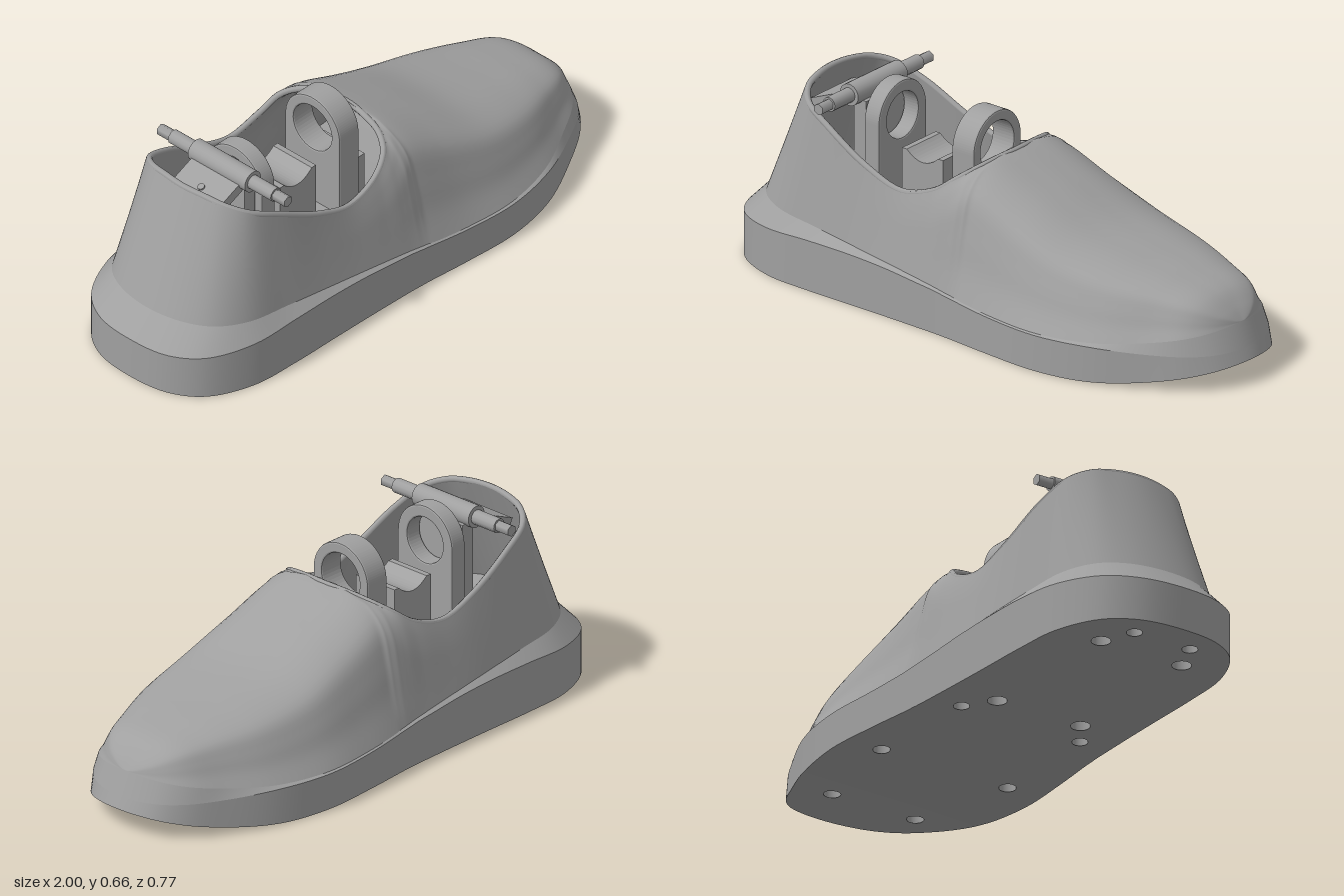
import * as THREE from 'three';
import { mergeVertices } from 'three/addons/utils/BufferGeometryUtils.js';

const STEPS = 6; // samples between two stations

// Upper, one side from heel to toe: base x,y,z, top x,y,z, roundness of the arch
const UPPER = [
  [-.92, .235, 0, -.76, .64, 0, 0], [-.9, .235, .13, -.75, .637, .09, 0],
  [-.845, .232, .225, -.73, .625, .165, 0], [-.74, .225, .285, -.68, .6, .225, 0],
  [-.58, .213, .305, -.57, .55, .255, 0], [-.4, .196, .32, -.4, .465, .27, 0],
  [-.25, .18, .33, -.25, .42, .272, .1], [-.12, .165, .338, -.12, .455, .262, .2],
  [-.04, .155, .343, -.05, .505, .235, .4], [0, .15, .347, -.01, .535, .175, .7],
  [.03, .147, .35, .01, .55, .09, .9], [.06, .143, .355, .02, .555, 0, 1],
  [.2, .132, .368, .2, .482, 0, 1], [.4, .128, .376, .4, .395, 0, 1],
  [.6, .135, .337, .6, .347, 0, 1], [.75, .152, .268, .75, .318, 0, 1],
  [.87, .175, .2, .87, .285, 0, 1], [.93, .19, .12, .925, .24, 0, 1],
  [.957, .2, 0, .957, .2, 0, 1],
];
// Sole outline at the same stations: x, z, height of the wall
const SOLE = [
  [-1, 0, .15], [-.98, .15, .15], [-.91, .255, .155], [-.76, .325, .165], [-.58, .34, .175],
  [-.4, .343, .175], [-.25, .346, .168], [-.12, .35, .156], [-.04, .353, .149], [0, .356, .144],
  [.03, .358, .141], [.06, .361, .138], [.2, .375, .128], [.4, .385, .124], [.6, .35, .125],
  [.77, .278, .12], [.9, .205, .12], [.97, .125, .12], [1, 0, .12],
];
// Holes under the sole, mirrored: x, z, radius
const HOLES = [[.7, .165, .028], [.31, .25, .028], [-.11, .235, .026], [-.21, .165, .032],
  [-.775, .16, .032], [-.89, .11, .026]];

const V = (x, y, z) => new THREE.Vector3(x, y, z);
const LAST = UPPER.length - 1;
const NU = LAST * 2 * STEPS;
const HALF = LAST * STEPS;

// Closed, mirrored loop through one point per station
function loop(points) {
  const back = points.slice(1, -1).reverse().map(p => V(p.x, p.y, -p.z));
  return new THREE.CatmullRomCurve3([...points, ...back], true);
}

function sample(points) {
  const curve = loop(points);
  return Array.from({ length: NU }, (_, i) => {
    const p = curve.getPoint(i / NU);
    p.z = i <= HALF ? Math.max(0, p.z) : Math.min(0, p.z);
    return p;
  });
}

// Smooth surface from closed rings of points
function loft(fn, nv) {
  const pos = [], index = [];
  for (let j = 0; j <= nv; j++) for (let i = 0; i < NU; i++) pos.push(...fn(i, j / nv).toArray());
  for (let j = 0; j < nv; j++) for (let i = 0; i < NU; i++) {
    const a = j * NU + i, b = j * NU + (i + 1) % NU;
    index.push(a, b, b + NU, a, b + NU, a + NU);
  }
  let g = new THREE.BufferGeometry();
  g.setAttribute('position', new THREE.Float32BufferAttribute(pos, 3));
  g.setIndex(index);
  g = mergeVertices(g, 1e-4);
  g.computeVertexNormals();
  return g;
}

const bottomY = x => x > .5 ? .08 * ((x - .5) / .5) ** 2 : 0;

export function createModel() {
  const root = new THREE.Group();
  const grey = new THREE.MeshStandardMaterial({ color: 0xa0a0a0 });
  const add = (name, geometry, x = 0, y = 0, z = 0) => {
    const m = new THREE.Mesh(geometry, grey);
    m.name = name;
    m.position.set(x, y, z);
    root.add(m);
    return m;
  };

  const base = sample(UPPER.map(r => V(r[0], r[1], r[2])));
  const top = sample(UPPER.map(r => V(r[3], r[4], r[5])));
  const outer = sample(SOLE.map(r => V(r[0], r[2], r[1])));

  // Upper: straight walls at the heel turning into an arch over the forefoot
  const arch = new THREE.CatmullRomCurve3([V(1, 0, 0), V(.9, .25, 0), V(.82, .52, 0),
    V(.7, .8, 0), V(.42, .955, 0), V(0, 1, 0)]);
  const shell = loft((i, v) => {
    const s = Math.min(i, NU - i) / STEPS, n = Math.min(Math.floor(s), LAST - 1);
    const k = THREE.MathUtils.lerp(UPPER[n][6], UPPER[n + 1][6], s - n);
    const c = arch.getPoint(v), B = base[i], R = top[i];
    const out = THREE.MathUtils.lerp(1 - v, c.x, k), up = THREE.MathUtils.lerp(v, c.y, k);
    return V(R.x + (B.x - R.x) * out, B.y + (R.y - B.y) * up, R.z + (B.z - R.z) * out);
  }, 20);
  add('upper', shell);

  // Lining: the same shell moved inwards and turned inside out
  const lining = shell.clone();
  const p = lining.attributes.position, nrm = lining.attributes.normal;
  for (let i = 0; i < p.count; i++) {
    p.setXYZ(i, p.getX(i) - nrm.getX(i) * .02, p.getY(i) - nrm.getY(i) * .02, p.getZ(i) - nrm.getZ(i) * .02);
  }
  lining.setIndex(Array.from(shell.index.array).reverse());
  lining.computeVertexNormals();
  add('lining', lining);

  // Rolled edge round the opening
  const rim = loop(UPPER.slice(0, 12).map(r => V(r[3] * .99, r[4] - .007, r[5] * .97)));
  add('collar', new THREE.TubeGeometry(rim, 120, .011, 8, true));

  // Sole: wall, bevelled ledge and inner floor
  const foot = outer.map(o => V(o.x, bottomY(o.x), o.z));
  const ledge = outer.map((o, i) => {
    const f = .33 * THREE.MathUtils.smoothstep(o.x, .5, 1);
    return V(o.x + (base[i].x - o.x) * f, o.y, o.z + (base[i].z - o.z) * f);
  });
  const spine = base.map(b => V(b.x, b.y, 0));
  const strip = (a, b) => loft((i, v) => a[i].clone().lerp(b[i], v), 1);
  add('soleWall', strip(foot, ledge));
  add('soleLedge', strip(ledge, base));
  add('soleFloor', strip(base, spine));

  // Underside in bands that follow the rise of the toe, with round holes
  const holes = HOLES.flatMap(([x, z, r]) => [[x, z, r], [x, -z, r]]);
  const cuts = [0, 13, 14, 15, 16, 17, 18].map(n => n * STEPS);
  for (let b = 0; b < cuts.length - 1; b++) {
    const side = foot.slice(cuts[b], cuts[b + 1] + 1);
    const x0 = side[0].x, x1 = side[side.length - 1].x;
    const outline = [...side.map(q => new THREE.Vector2(q.x, -q.z)),
      ...side.slice().reverse().filter(q => q.z > 1e-5).map(q => new THREE.Vector2(q.x, q.z))];
    const shape = new THREE.Shape(outline);
    for (const [x, z, r] of holes) {
      if (x > x0 && x < x1) shape.holes.push(new THREE.Path().absarc(x, z, r, 0, Math.PI * 2, true));
    }
    const g = new THREE.ShapeGeometry(shape, 10);
    const q = g.attributes.position;
    for (let i = 0; i < q.count; i++) q.setXYZ(i, q.getX(i), bottomY(q.getX(i)), q.getY(i));
    g.computeVertexNormals();
    add('underside', g);
  }
  for (const [x, z, r] of holes) {
    const cup = [[0, .07], [r, .07], [r, .07], [r, -.002]].map(c => new THREE.Vector2(...c));
    add('screwHole', new THREE.LatheGeometry(cup, 20), x, bottomY(x), z);
  }

  // Extrudes a z,y outline along x
  const slab = (shape, depth) => new THREE.ExtrudeGeometry(shape, {
    depth, bevelEnabled: true, bevelSize: .006, bevelThickness: .006, bevelSegments: 2, curveSegments: 24,
  }).rotateY(Math.PI / 2);

  // Mounting plate inside the opening
  const plate = new THREE.Shape();
  const [w, h, c] = [.2, .27, .05];
  plate.moveTo(-h + c, -w).lineTo(h - c, -w).quadraticCurveTo(h, -w, h, -w + c)
    .lineTo(h, w - c).quadraticCurveTo(h, w, h - c, w)
    .lineTo(-h + c, w).quadraticCurveTo(-h, w, -h, w - c)
    .lineTo(-h, -w + c).quadraticCurveTo(-h, -w, -h + c, -w);
  add('mountPlate', new THREE.ExtrudeGeometry(plate, { depth: .1, bevelEnabled: false })
    .rotateX(-Math.PI / 2), -.3, .15, 0);

  // Two upright bearing brackets with a round eye
  const bracket = (name, x, depth, eye) => {
    const s = new THREE.Shape();
    s.moveTo(-.115, .2).lineTo(.115, .2).lineTo(.115, .54);
    s.absarc(0, .54, .115, 0, Math.PI, false);
    s.lineTo(-.115, .2);
    s.holes.push(new THREE.Path().absarc(0, .54, eye, 0, Math.PI * 2, true));
    add(name, slab(s, depth), x, 0, .008);
  };
  bracket('rearBracket', -.51, .05, .085);
  bracket('frontBracket', -.145, .08, .09);
  add('frontStop', new THREE.BoxGeometry(.06, .2, .18), -.03, .3, .008);

  // Saddle block between the brackets
  const saddle = new THREE.Shape();
  saddle.moveTo(-.085, .24).lineTo(.085, .24).lineTo(.085, .47).lineTo(.065, .47)
    .quadraticCurveTo(0, .41, -.065, .47).lineTo(-.085, .47);
  add('saddle', new THREE.ExtrudeGeometry(saddle, { depth: .17, bevelEnabled: false }), -.305, 0, -.08);

  // Cross pin: barrel, sleeves and hexagonal ends
  const rod = (name, r, z0, z1, sides) => add(name,
    new THREE.CylinderGeometry(r, r, z1 - z0, sides).rotateX(Math.PI / 2), -.57, .622, (z0 + z1) / 2);
  rod('pinBarrel', .038, -.112, .14, 20);
  rod('pinSleeve', .025, -.212, .242, 12);
  rod('pinEnds', .02, -.268, .296, 6);

  // Strap from the pin to the heel, with its screw, and a lug down to the bracket
  const strap = add('heelStrap', new THREE.BoxGeometry(.2, .035, .21), -.655, .575, .008);
  strap.rotation.z = .4;
  const screw = add('strapScrew', new THREE.CylinderGeometry(.012, .012, .01, 12), -.672, .588, .008);
  screw.rotation.z = .4;
  add('pinLug', new THREE.BoxGeometry(.05, .36, .2), -.55, .42, .008);

  return root;
}
